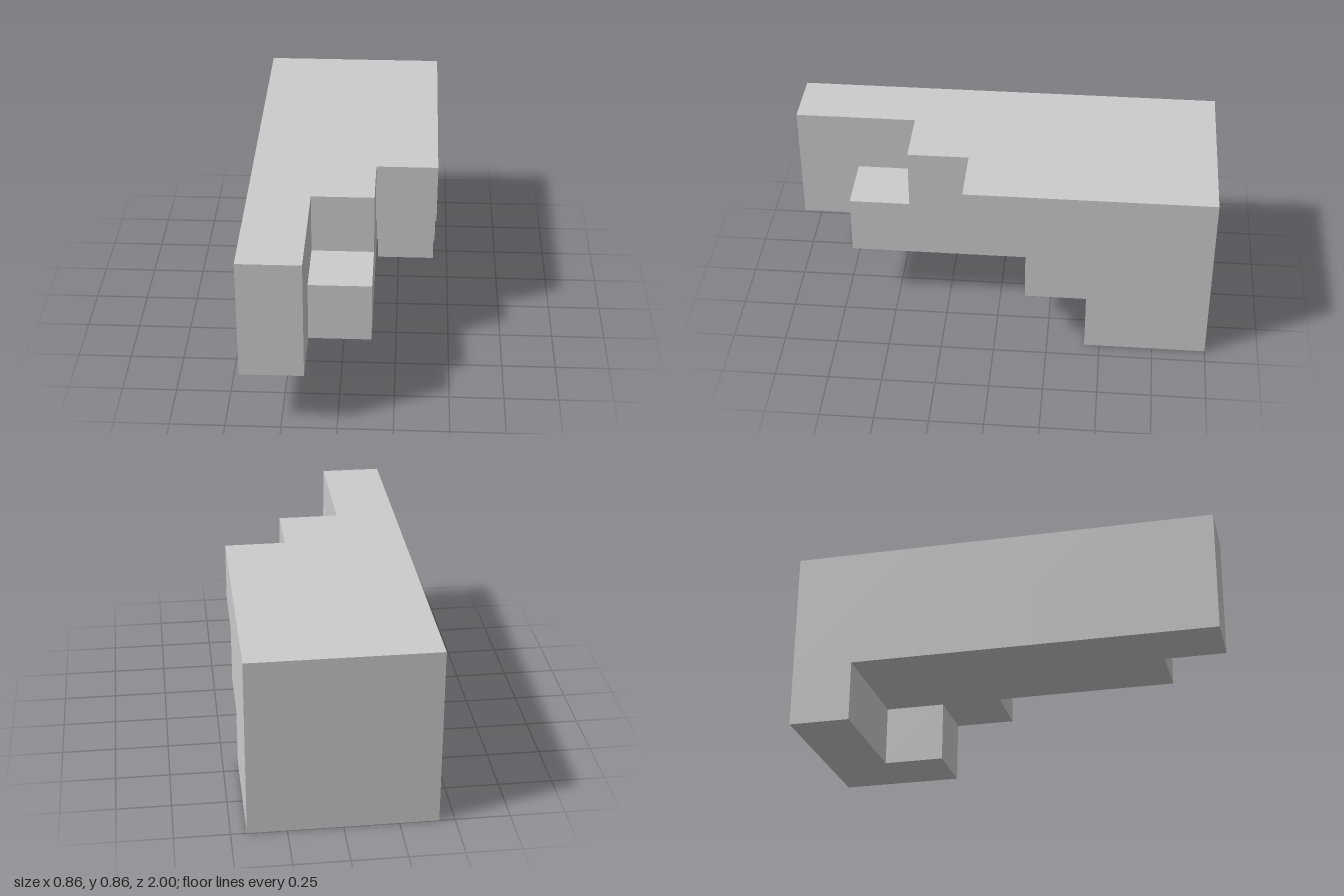
import * as THREE from 'three';
import { mergeGeometries } from 'three/addons/utils/BufferGeometryUtils.js';

const U = 2 / 7; // the block is laid out in 3 x 3 x 7 cubes

// number of cubes running forward from the back wall, reach[layer][column]
const reach = [
  [1, 1, 2], // foot
  [7, 6, 3], // middle layer
  [7, 5, 4], // top layer
];

const filled = (x, y, z) => z >= 0 && z < (reach[y]?.[x] ?? 0);

// one cube face, turned to look along the direction d
function face(x, y, z, d) {
  const dir = new THREE.Vector3(...d);
  const g = new THREE.PlaneGeometry(U, U);
  g.applyQuaternion(new THREE.Quaternion().setFromUnitVectors(new THREE.Vector3(0, 0, 1), dir));
  return g.translate(
    (x - 1 + d[0] / 2) * U,
    (y + 0.5 + d[1] / 2) * U,
    (z - 3 + d[2] / 2) * U
  );
}

export function createModel() {
  const directions = [[1, 0, 0], [-1, 0, 0], [0, 1, 0], [0, -1, 0], [0, 0, 1], [0, 0, -1]];
  const faces = [];

  // only the outer skin is built, so no walls remain inside the block
  for (let y = 0; y < 3; y++)
    for (let x = 0; x < 3; x++)
      for (let z = 0; z < reach[y][x]; z++)
        for (const d of directions)
          if (!filled(x + d[0], y + d[1], z + d[2])) faces.push(face(x, y, z, d));

  const block = new THREE.Mesh(
    mergeGeometries(faces),
    new THREE.MeshStandardMaterial({ color: 0xcccccc, flatShading: true })
  );
  block.name = 'steppedBlock';

  const model = new THREE.Group();
  model.name = 'steppedBlockModel';
  model.add(block);
  return model;
}
